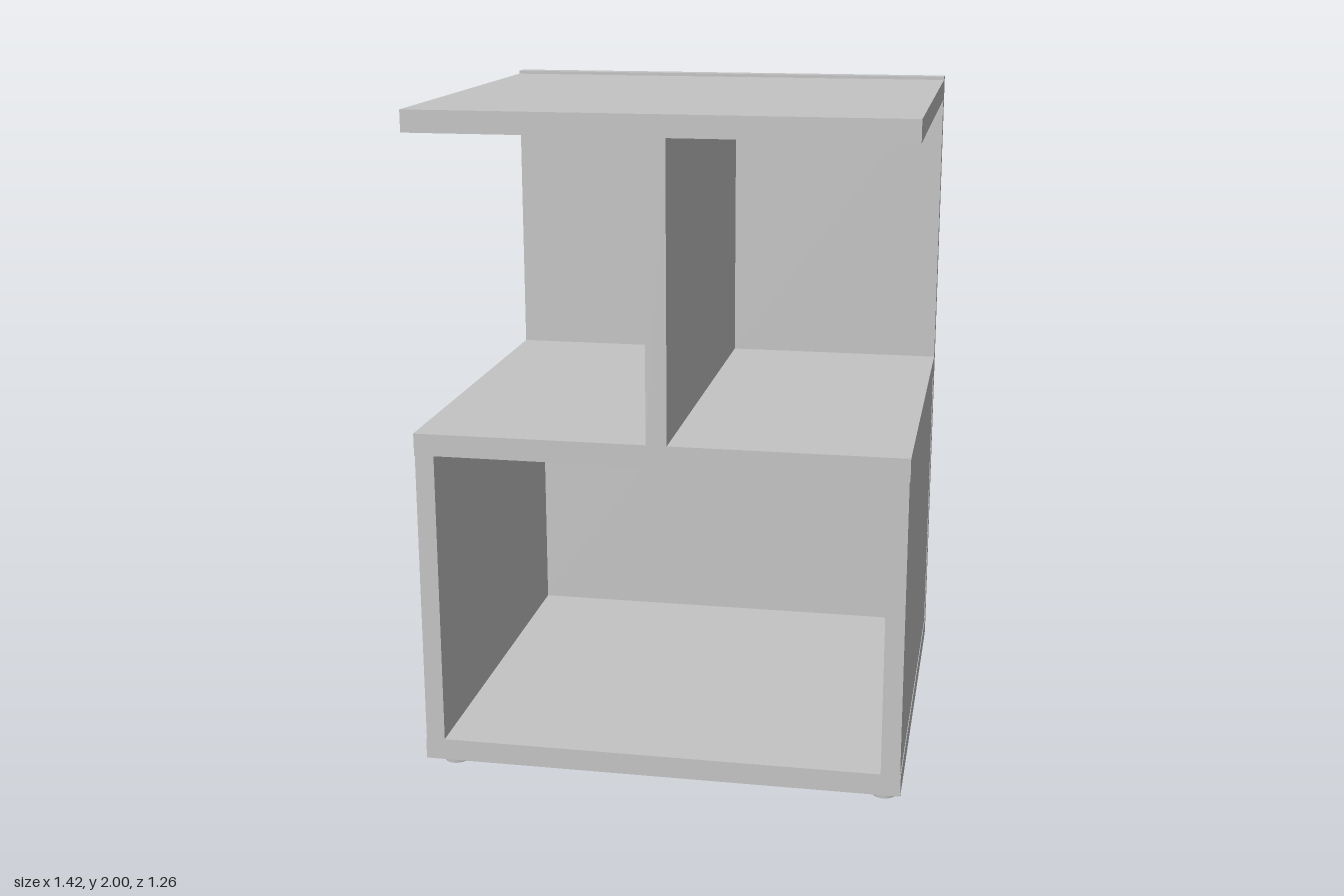
import * as THREE from 'three';

export function createModel() {
  const group = new THREE.Group();
  group.name = 'sideCabinet';
  const grey = new THREE.MeshStandardMaterial({ color: 0xc4c4c4 });
  grey.name = 'grey board';

  // A board given by its lower and upper limits on each axis
  const board = (name, [x0, x1], [y0, y1], [z0, z1]) => {
    const mesh = new THREE.Mesh(new THREE.BoxGeometry(x1 - x0, y1 - y0, z1 - z0), grey);
    mesh.position.set((x0 + x1) / 2, (y0 + y1) / 2, (z0 + z1) / 2);
    mesh.name = name;
    group.add(mesh);
  };

  const W = 0.71, back = -0.58, front = 0.632;
  const depth = [back, front];

  // Horizontal boards
  board('bottomBoard', [-W, W], [0.055, 0.12], depth);
  board('middleShelf', [-W, W], [1.005, 1.07], depth);
  board('topBoard', [-W, W], [1.927, 1.99], depth);

  // Upright boards
  board('backPanel', [-W, W], [0.058, 2], [-0.632, back]);
  board('leftSide', [0.652, 0.708], [0.12, 1.005], depth);
  board('rightSide', [-0.708, -0.652], [0.12, 1.005], depth);
  board('centreDivider', [-0.03, 0.03], [1.07, 1.927], depth);

  // Four round feet
  const footGeometry = new THREE.CylinderGeometry(0.039, 0.035, 0.056, 24);
  for (const x of [-0.655, 0.655]) {
    for (const z of [-0.507, 0.51]) {
      const foot = new THREE.Mesh(footGeometry, grey);
      foot.position.set(x, 0.028, z);
      foot.name = 'foot';
      group.add(foot);
    }
  }
  return group;
}
